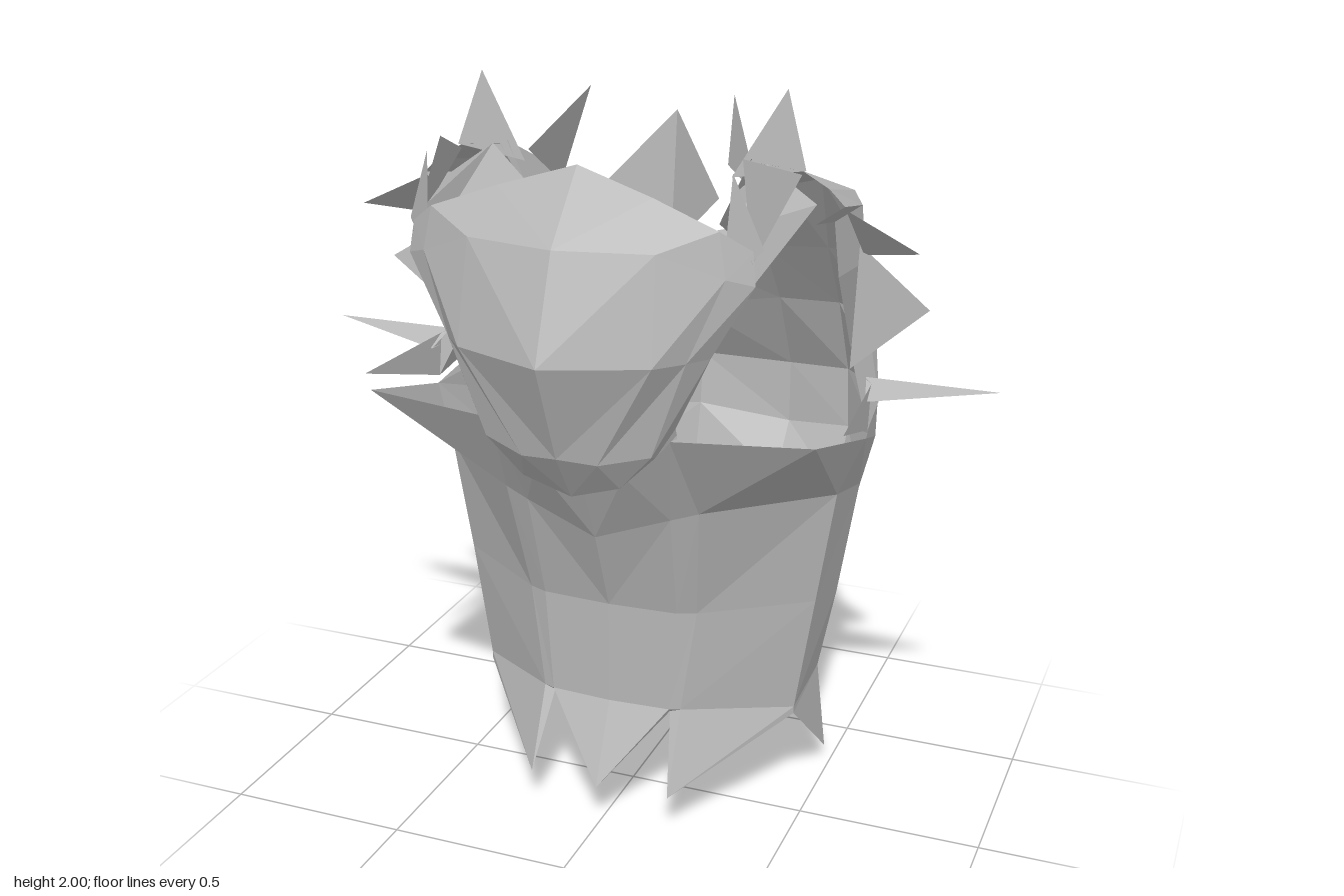
import * as THREE from 'three';

const cloth = new THREE.MeshStandardMaterial({ color: 0xb6b6b6, side: THREE.DoubleSide, flatShading: true });
cloth.name = 'grey hide';

// Triangles for the +x half are mirrored to the other side, with flipped winding
function mirroredMesh(name, tris) {
  const pos = [];
  for (const [a, b, c] of tris) {
    pos.push(...a, ...b, ...c);
    for (const p of [a, c, b]) pos.push(-p[0], p[1], p[2]);
  }
  const geo = new THREE.BufferGeometry();
  geo.setAttribute('position', new THREE.Float32BufferAttribute(pos, 3));
  geo.computeVertexNormals();
  const mesh = new THREE.Mesh(geo, cloth);
  mesh.name = name;
  return mesh;
}

// Joins consecutive cross-sections (lower to upper, front to back)
function loft(rows) {
  const tris = [];
  for (let r = 0; r + 1 < rows.length; r++) {
    for (let c = 0; c + 1 < rows[r].length; c++) {
      const a = rows[r][c], b = rows[r][c + 1], d = rows[r + 1][c], e = rows[r + 1][c + 1];
      tris.push([a, b, e], [a, e, d]);
    }
  }
  return tris;
}

export function createModel() {
  const model = new THREE.Group();
  model.name = 'raggedTunic';

  // Lower body, front half: jagged hem up to the chest
  const front = [
    [[0, .12, .28], [.17, .33, .16], [.2, .12, .26], [.46, .28, -.04], [.48, .04, -.31]],
    [[0, .34, .18], [.17, .34, .17], [.2, .34, .16], [.46, .3, -.04], [.45, .3, -.31]],
    [[0, .63, .18], [.19, .63, .17], [.24, .63, .15], [.51, .63, -.04], [.5, .55, -.3]],
    [[0, .86, .27], [.2, .93, .25], [.27, .95, .23], [.56, .95, -.03], [.55, .88, -.3]],
    [[0, 1.05, .36], [.12, 1.08, .37], [.24, 1.19, .37], [.6, 1.21, .34], [.62, 1.1, -.07]],
  ];
  model.add(mirroredMesh('lowerFront', loft(front)));

  // Back: hem, two lobes, then over the shoulders
  const back = [
    [front[0][4], [.42, .09, -.35], [.34, .16, -.39], [.2, .25, -.44], [0, 0, -.5]],
    [front[1][4], [.41, .3, -.35], [.34, .3, -.39], [.2, .32, -.45], [0, .34, -.5]],
    [front[2][4], [.46, .53, -.37], [.37, .52, -.43], [.22, .55, -.49], [0, .6, -.5]],
    [front[3][4], [.52, .82, -.42], [.43, .77, -.5], [.24, .77, -.53], [0, .85, -.51]],
    [front[4][4], [.56, .98, -.42], [.44, .94, -.58], [.25, .92, -.62], [0, .97, -.54]],
    [[.6, 1.14, -.24], [.56, 1.12, -.43], [.43, 1.11, -.59], [.25, 1.1, -.62], [0, 1.12, -.56]],
    [[.56, 1.3, -.37], [.54, 1.32, -.43], [.42, 1.33, -.5], [.25, 1.33, -.49], [0, 1.3, -.44]],
    [[.56, 1.53, -.22], [.54, 1.53, -.3], [.42, 1.52, -.36], [.24, 1.51, -.36], [0, 1.47, -.33]],
    [[.56, 1.69, -.16], [.53, 1.72, -.19], [.44, 1.74, -.2], [.33, 1.71, -.21], [.2, 1.57, -.2]],
    [[.57, 1.73, .05], [.53, 1.77, .05], [.46, 1.81, .05], [.35, 1.82, .05], [.25, 1.66, .05]],
  ];
  model.add(mirroredMesh('backAndShoulders', loft(back)));

  // Bulging chest panel
  const chest = [
    [[0, 1.05, .36], [.12, 1.08, .37], [.24, 1.19, .37], [.26, 1.2, .37]],
    [[0, 1.03, .42], [.13, 1.07, .42], [.22, 1.16, .41], [.26, 1.21, .37]],
    [[0, 1.16, .51], [.1, 1.15, .49], [.22, 1.17, .44], [.26, 1.23, .38]],
    [[0, 1.42, .62], [.25, 1.42, .52], [.31, 1.42, .45], [.35, 1.42, .39]],
    [[0, 1.68, .52], [.24, 1.68, .47], [.39, 1.62, .41], [.45, 1.6, .37]],
    [[0, 1.85, .36], [.2, 1.79, .38], [.37, 1.73, .4], [.44, 1.68, .36]],
  ];
  model.add(mirroredMesh('chestPanel', loft(chest)));

  // Folded straps from the chest panel to the shoulders
  model.add(mirroredMesh('frontStrap', loft([
    [[.38, 1.63, .4], [.39, 1.73, .38], [.45, 1.61, .37]],
    [[.28, 1.73, .05], [.37, 1.82, .05], [.5, 1.73, .05]],
  ])));

  // Raised band round the back of the neck
  const neck = [[0, 1.47, -.33], [.12, 1.5, -.29], [.2, 1.57, -.2], [.25, 1.66, .05]];
  const band = [[0, .04, -.03], [.05, .06, -.05], [.1, .13, -.03], [.08, .17, 0]];
  const bandEdge = neck.map((p, i) => p.map((v, k) => v + band[i][k]));
  model.add(mirroredMesh('neckBand', loft([bandEdge, neck])));

  // Lining of the upper armhole, and the loose flap under the arm
  const edge = back.slice(6).map(r => r[0]);
  const inner = edge.map(([x, y, z]) => [x - .06, y - .04, z + .04]);
  model.add(mirroredMesh('armholeLining', loft([edge, inner])));
  model.add(mirroredMesh('underarmFlap', loft([
    [[.65, 1.23, .28], [.62, 1.12, -.08], [.61, 1.15, -.23], [.56, 1.3, -.37]],
    [[.65, 1.23, .28], [.62, 1.24, -.1], [.56, 1.27, -.14], [.55, 1.35, -.31]],
  ])));

  // Fur spikes: two base corners, tip, and an optional third base corner
  const spikes = {
    chestSpike: [[.38, 1.6, .41], [.46, 1.68, .34], [.39, 1.86, .37]],
    strapSpike: [[.44, 1.65, .37], [.46, 1.8, .05], [.39, 1.88, .3]],
    shoulderTopSpike: [[.28, 1.78, .05], [.47, 1.81, .05], [.41, 2, .02]],
    neckSpike: [[.27, 1.81, .05], [.28, 1.68, -.18], [.2, 1.94, -.2]],
    collarSpike: [[.17, 1.67, -.18], [0, 1.5, -.28], [0, 1.87, -.32]],
    shoulderFlap: [[.57, 1.72, .04], [.56, 1.55, -.2], [.76, 1.63, .05]],
    armSpike: [[.55, 1.58, -.19], [.55, 1.3, -.37], [.76, 1.45, -.1], [.55, 1.26, -.14]],
    sideSpike: [[.62, 1.2, -.2], [.62, 1.21, -.04], [.95, 1.25, -.12], [.6, 1.25, -.12]],
  };
  for (const [name, [a, b, tip, c]] of Object.entries(spikes)) {
    const tris = [[a, b, tip]];
    if (c) tris.push([b, c, tip], [c, a, tip]);
    model.add(mirroredMesh(name, tris));
  }

  return model;
}
